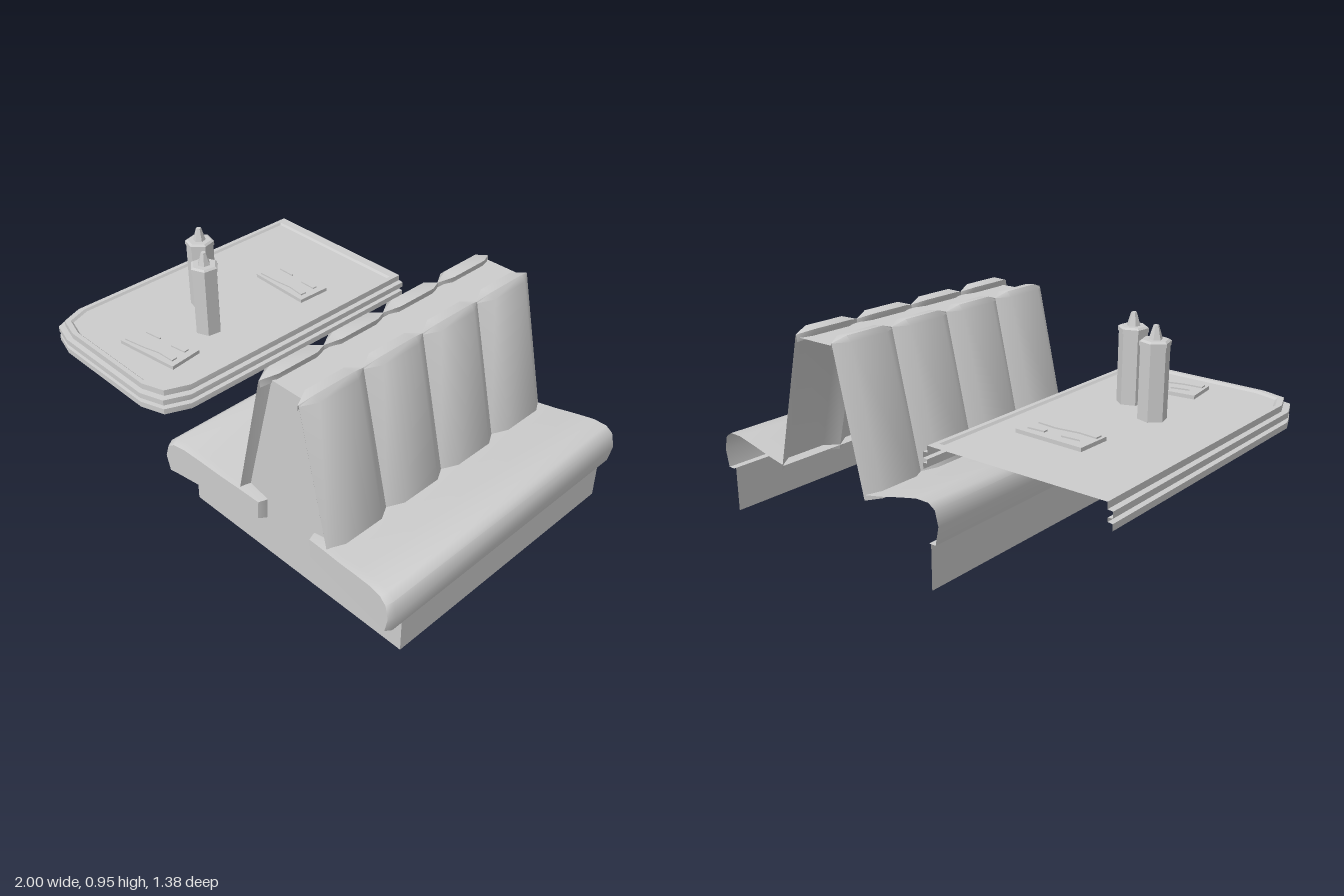
import * as THREE from 'three';
import { toCreasedNormals } from 'three/addons/utils/BufferGeometryUtils.js';

const gray = new THREE.MeshStandardMaterial({ color: 0xcccccc, side: THREE.DoubleSide });
gray.name = 'plain gray';

function add(parent, name, geometry, x = 0, y = 0, z = 0) {
  const mesh = new THREE.Mesh(geometry, gray);
  mesh.name = name;
  mesh.position.set(x, y, z);
  parent.add(mesh);
  return mesh;
}

// Skin over rows of [x, y, z] points
function skin(rows, flip = false, crease = 0.8) {
  const pos = [];
  for (let r = 0; r + 1 < rows.length; r++) {
    for (let i = 0; i + 1 < rows[r].length; i++) {
      const a = rows[r][i], b = rows[r][i + 1], c = rows[r + 1][i + 1], d = rows[r + 1][i];
      for (const p of flip ? [a, c, b, a, d, c] : [a, b, c, a, c, d]) pos.push(...p);
    }
  }
  const g = new THREE.BufferGeometry();
  g.setAttribute('position', new THREE.Float32BufferAttribute(pos, 3));
  return toCreasedNormals(g, crease);
}

const shapeOf = (pts) => new THREE.Shape(pts.map(([x, y]) => new THREE.Vector2(x, y)));
const MID = 0.375; // middle of the double bench
const mirror = (rows, s) => rows.map((row) => row.map(([x, y, z]) => [MID + s * (x - MID), y, z]));

// Seat cushion: an open shell with a slanted, rounded front end
function seat(s) {
  const back = -0.68, panel = 0.54;
  const profile = [ // x, y, rear z
    [0.51, 0.18, panel], [0.505, 0.276, panel], [0.61, 0.3, panel], [0.611, 0.3, back],
    [0.7, 0.318, back], [0.8, 0.343, back], [0.89, 0.363, back], [0.95, 0.363, back],
    [0.982, 0.342, back], [0.998, 0.28, back], [0.982, 0.2, back], [0.95, 0.2, back],
    [0.949, 0.2, panel], [0.51, 0.18, panel],
  ];
  const front = (x) => 0.575 + 0.17 * (x - 0.5);
  const rows = [
    profile,
    profile.map(([x, y]) => [x, y, front(x) - 0.03]),
    profile.map(([x, y]) => {
      const px = 0.75 + (x - 0.75) * 0.95, py = 0.27 + (y - 0.27) * 0.88;
      return [px, py, front(px)];
    }),
    profile.map(() => [0.75, 0.27, front(0.75)]),
  ];
  return skin(mirror(rows, s), s > 0);
}

// Seat back: four upright padded lobes that pinch together at the seams
function seatBack(s) {
  const lobe = 0.3175, columns = [];
  for (let k = 0; k < 4; k++) {
    for (const [f, t] of [[0, 0], [0.2, 1], [0.8, 1], [1, 0]]) {
      if (k === 0 || f > 0) columns.push([0.585 - lobe * (k + f), t]);
    }
  }
  const stations = [ // seam x, y then padded x, y
    [0.618, 0.28, 0.657, 0.28], [0.478, 0.873, 0.515, 0.878], [0.476, 0.879, 0.492, 0.9],
    [0.474, 0.879, 0.442, 0.893], [0.47, 0.85, 0.45, 0.86],
  ];
  const rows = stations.map(([x0, y0, x1, y1]) =>
    columns.map(([z, t]) => [x0 + (x1 - x0) * t, y0 + (y1 - y0) * t, z]));
  return skin(mirror(rows, s), s < 0);
}

// Narrow strip closing the front end of a seat back
function seatBackEnd(s) {
  const rows = [
    [[0.605, 0.28, 0.535], [0.618, 0.28, 0.585]],
    [[0.447, 0.885, 0.525], [0.478, 0.875, 0.585]],
  ];
  return skin(mirror(rows, s), s > 0);
}

function bench() {
  const g = new THREE.Group();
  g.name = 'doubleBench';
  for (const [s, side] of [[1, 'left'], [-1, 'right']]) {
    add(g, side + 'Seat', seat(s));
    add(g, side + 'SeatBack', seatBack(s));
    add(g, side + 'SeatBackEnd', seatBackEnd(s));
    const wall = new THREE.PlaneGeometry(1.21, 0.2).rotateY(s * Math.PI / 2);
    add(g, side + 'BaseWall', wall, MID + s * 0.575, 0.1, -0.065);
  }
  // Front panel, with the narrowing upright between the seat backs
  const panel = shapeOf([[-0.2, 0], [0.95, 0], [0.95, 0.2], [0.63, 0.2], [0.605, 0.3],
    [0.46, 0.866], [0.29, 0.866], [0.145, 0.3], [0.12, 0.2], [-0.2, 0.2]]);
  add(g, 'frontPanel', new THREE.ShapeGeometry(panel), 0, 0, 0.54);
  add(g, 'topStrip', new THREE.PlaneGeometry(0.18, 1.215).rotateX(-Math.PI / 2), MID, 0.866, -0.0675);
  return g;
}

function table() {
  const g = new THREE.Group();
  g.name = 'table';
  const cx = -0.59;
  const outline = [[-1, -0.68], [-1, 0.55], [-0.96, 0.65], [-0.85, 0.682],
    [-0.33, 0.69], [-0.225, 0.655], [-0.18, 0.55], [-0.18, -0.68]];
  const ring = (d, y, openBack) => outline.map(([x, z]) => [
    cx + (x - cx) * (1 - d / 0.41), y, openBack && z < 0 ? z : z * (1 - d / 0.685)]);
  // Ribbed edge, open at the wall side
  const edge = [[0, 0.49], [0, 0.515], [0.02, 0.517], [0.02, 0.532], [0, 0.534],
    [0, 0.558], [0.022, 0.56], [0.022, 0.586]].map(([d, y]) => ring(d, y, true));
  add(g, 'ribbedEdge', skin(edge, false, 0.6));
  // Raised rim around the top
  const close = (r) => [...r, r[0]];
  add(g, 'rim', skin([close(ring(0.022, 0.586, true)), close(ring(0.042, 0.586)),
    close(ring(0.05, 0.577))], false, 0.4));
  const top = shapeOf(ring(0.05, 0).map(([x, , z]) => [x, -z]));
  add(g, 'tableTop', new THREE.ShapeGeometry(top).rotateX(-Math.PI / 2), 0, 0.577, 0);
  return g;
}

// Six-sided squeeze bottle
function bottle(x, z, turn) {
  const g = new THREE.Group();
  g.name = 'bottle';
  const prism = (name, rTop, rBottom, y0, y1) => {
    const geo = new THREE.CylinderGeometry(rTop, rBottom, y1 - y0, 6).toNonIndexed();
    geo.computeVertexNormals();
    add(g, name, geo, 0, (y0 + y1) / 2, 0);
  };
  prism('bottleBody', 0.058, 0.058, 0.577, 0.868);
  prism('bottleCap', 0.062, 0.062, 0.868, 0.885);
  prism('bottleShoulder', 0.052, 0.062, 0.885, 0.892);
  prism('bottleNozzle', 0.011, 0.027, 0.892, 0.946);
  g.position.set(x, 0, z);
  g.rotation.y = turn;
  return g;
}

// Flat menu card with thin raised shapes
function menu(x, z, turn) {
  const g = new THREE.Group();
  g.name = 'menu';
  add(g, 'menuCard', new THREE.BoxGeometry(0.305, 0.016, 0.152), 0, 0.585, 0);
  const relief = (name, pts) => add(g, name, new THREE.ExtrudeGeometry(shapeOf(pts),
    { depth: 0.006, bevelEnabled: false }).rotateX(-Math.PI / 2), 0, 0.593, 0);
  relief('menuBand', [[-0.14, -0.062], [-0.03, -0.055], [0.04, -0.045], [0.125, -0.052],
    [0.125, -0.024], [0.04, -0.018], [-0.06, -0.034], [-0.14, -0.03]]);
  relief('menuMarkLeft', [[-0.11, 0.028], [-0.03, 0.03], [-0.03, 0.036]]);
  relief('menuMarkRight', [[0.045, 0.022], [0.12, 0.024], [0.12, 0.046], [0.045, 0.04]]);
  g.position.set(x, 0, z);
  g.rotation.y = turn;
  return g;
}

export function createModel() {
  const model = new THREE.Group();
  model.name = 'dinerBooth';
  model.add(bench(), table(), bottle(-0.65, 0.1, 0.25), bottle(-0.475, 0.218, -0.15),
    menu(-0.5, -0.285, -0.03), menu(-0.5, 0.457, 0.12));
  return model;
}
